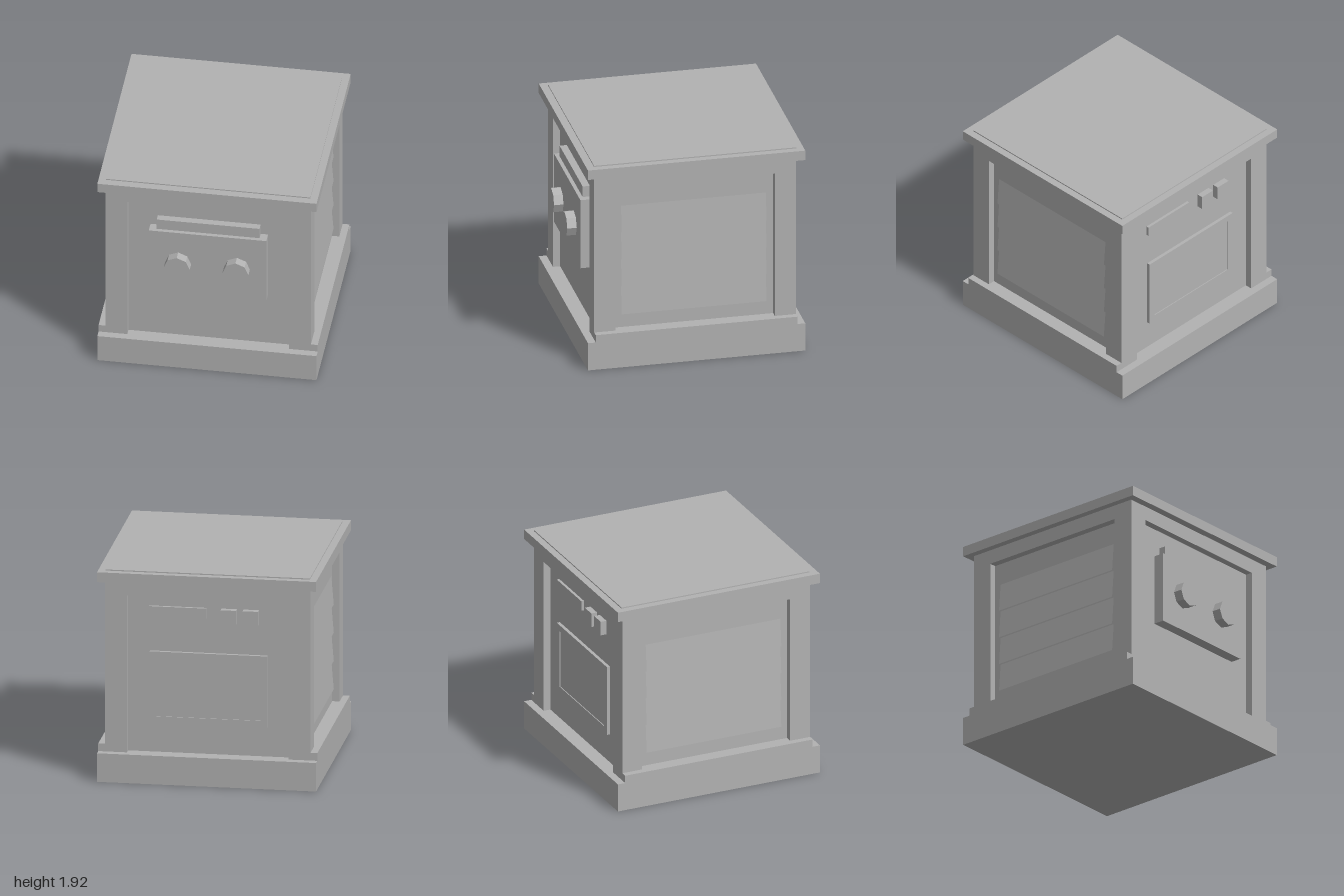
import * as THREE from 'three';

export function createModel() {
  const group = new THREE.Group();
  const grey = new THREE.MeshStandardMaterial({ color: 0xb2b2b2 });
  grey.name = 'grey';

  const add = (name, geometry, x = 0, y = 0, z = 0) => {
    const mesh = new THREE.Mesh(geometry, grey);
    mesh.name = name;
    mesh.position.set(x, y, z);
    group.add(mesh);
    return mesh;
  };
  // Box given by its extents on each axis
  const box = (name, x0, x1, y0, y1, z0, z1) =>
    add(name, new THREE.BoxGeometry(x1 - x0, y1 - y0, z1 - z0),
      (x0 + x1) / 2, (y0 + y1) / 2, (z0 + z1) / 2);

  // Plinth, side skirting and top slab
  box('base', -0.97, 0.97, 0, 0.26, -1, 0.95);
  for (const s of [-1, 1]) {
    box('sideSkirting', Math.min(s * 0.78, s * 0.97), Math.max(s * 0.78, s * 0.97), 0.26, 0.33, -0.93, 0.88);
  }
  box('topSlab', -0.97, 0.97, 1.82, 1.91, -1, 0.95);
  box('topInset', -0.905, 0.905, 1.91, 1.92, -0.935, 0.88);

  // Recessed body with corner posts and a top rail
  box('bodyCore', -0.845, 0.845, 0.26, 1.69, -0.865, 0.815);
  box('topRail', -0.91, 0.91, 1.69, 1.82, -0.93, 0.88);
  for (const [x0, x1] of [[-0.91, -0.715], [0.715, 0.91]]) {
    box('cornerPost', x0, x1, 0.26, 1.69, 0.69, 0.88);
    box('cornerPost', x0, x1, 0.26, 1.69, -0.93, -0.74);
  }

  // Front control panel, bar and eight-sided knobs
  box('controlPanel', -0.52, 0.52, 0.78, 1.43, 0.815, 0.915);
  box('frontBar', -0.455, 0.455, 1.43, 1.53, 0.815, 0.88);
  for (const x of [-0.26, 0.26]) {
    const knob = new THREE.CylinderGeometry(0.115, 0.115, 0.085, 8).toNonIndexed();
    knob.rotateX(Math.PI / 2);
    knob.computeVertexNormals();
    add('knob', knob, x, 1.105, 0.9575);
  }

  // Sloping louvre slats in both side recesses, lower edge outwards
  const slats = 4, bottom = 0.46, pitch = 1.03 / slats, lean = 0.022;
  for (const s of [-1, 1]) {
    for (let i = 0; i < slats; i++) {
      const slat = new THREE.PlaneGeometry(1.3, Math.hypot(pitch, lean));
      slat.rotateX(-Math.atan2(lean, pitch));
      slat.rotateY(s * Math.PI / 2);
      add('louvreSlat', slat, s * (0.847 + lean / 2), bottom + pitch * (i + 0.5), -0.025);
    }
  }

  // Back hatch: a frame around a set-in panel
  const frame = new THREE.Shape([[-0.52, 0.53], [0.52, 0.53], [0.52, 1.18], [-0.52, 1.18]]
    .map(([x, y]) => new THREE.Vector2(x, y)));
  frame.holes.push(new THREE.Path([[-0.46, 0.59], [-0.46, 1.12], [0.46, 1.12], [0.46, 0.59]]
    .map(([x, y]) => new THREE.Vector2(x, y))));
  add('hatchFrame', new THREE.ExtrudeGeometry(frame, { depth: 0.03, bevelEnabled: false }), 0, 0, -0.895);
  box('hatchPanel', -0.46, 0.46, 0.59, 1.12, -0.887, -0.865);

  // Back bar and push buttons
  box('backBar', 0.02, 0.53, 1.5, 1.59, -0.89, -0.865);
  for (const x of [-0.18, -0.375]) {
    box('pushButton', x - 0.068, x + 0.068, 1.46, 1.59, -0.92, -0.865);
  }
  return group;
}
